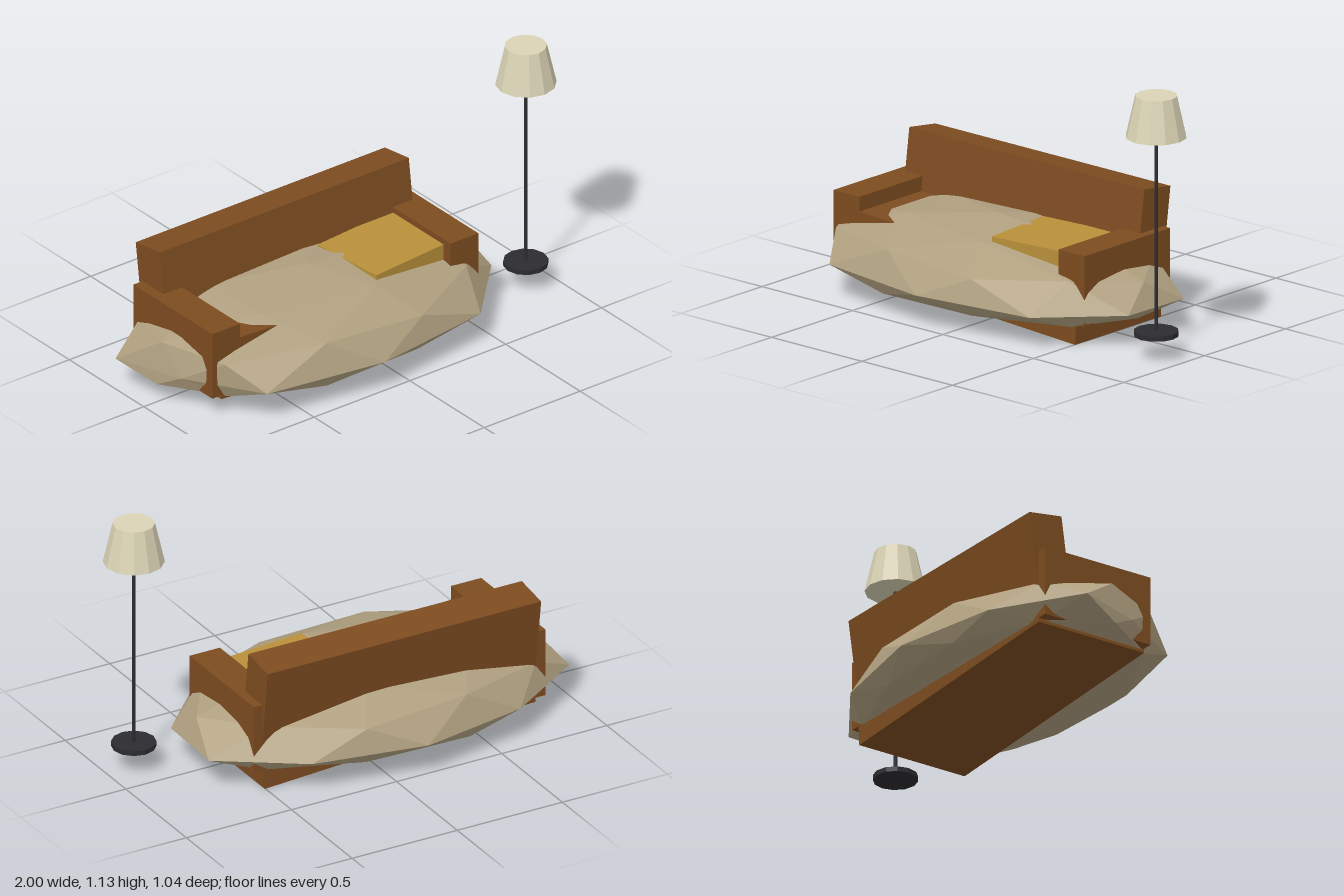
import * as THREE from 'three';

const paint = (name, color) => {
  const m = new THREE.MeshStandardMaterial({ color });
  m.name = name;
  return m;
};

// Faceted normals for low-poly parts
function faceted(geometry) {
  const g = geometry.index ? geometry.toNonIndexed() : geometry;
  g.computeVertexNormals();
  return g;
}

// Lumpy mound: an icosphere-like dome with a flattened underside
function moundGeometry() {
  const cx = -0.14, midY = 0.145, baseY = 0.085, rx = 0.9, rz = 0.525;
  const at = (j, r, y) => {
    const a = (j * Math.PI) / 5;
    return [cx + Math.cos(a) * r * rx, y, Math.sin(a) * r * rz];
  };
  // Widest outline, irregular
  const rim = [
    [0.705, 0.14], [0.42, 0.435], [-0.14, 0.515], [-0.69, 0.43], [-0.89, 0.11],
    [-1, -0.19], [-0.63, -0.43], [-0.14, -0.525], [0.36, -0.43], [0.715, -0.19],
  ].map(([x, z]) => [x, midY, z]);
  const upper = [], lower = [], crown = [];
  for (let j = 0; j < 10; j++) {
    const odd = j % 2;
    upper.push(at(j, odd ? 0.851 : 0.894, odd ? 0.275 : 0.25));
    lower.push(at(j, odd ? 0.88 : 0.851, baseY));
    if (!odd) crown.push(at(j, 0.526, 0.347));
  }
  const top = [cx, 0.385, 0], bottom = [cx, baseY, 0];
  const p = [];
  const tri = (...corners) => corners.forEach((c) => p.push(...c));
  for (let j = 0; j < 10; j++) {
    const n = (j + 1) % 10, b = (j + 9) % 10;
    tri(upper[j], rim[j], rim[b]);
    tri(upper[j], upper[n], rim[j]);
    tri(lower[j], rim[b], rim[j]);
    tri(lower[j], rim[j], lower[n]);
    tri(bottom, lower[j], lower[n]);
  }
  for (let k = 0; k < 5; k++) {
    const next = crown[(k + 1) % 5], j = 2 * k;
    tri(crown[k], upper[j + 1], upper[j]);
    tri(crown[k], upper[j], upper[(j + 9) % 10]);
    tri(crown[k], next, upper[j + 1]);
    tri(top, next, crown[k]);
  }
  const g = new THREE.BufferGeometry();
  g.setAttribute('position', new THREE.Float32BufferAttribute(p, 3));
  g.computeVertexNormals();
  return g;
}

export function createModel() {
  const model = new THREE.Group();
  model.name = 'sofaAndLamp';
  const wood = paint('brown', 0x7d4c20);
  const tan = paint('tan', 0xb0a080);
  const gold = paint('gold', 0xb8903a);
  const cream = paint('cream', 0xdad3b5);
  const metal = paint('darkMetal', 0x2c2c30);

  const add = (name, geometry, material, x = 0, y = 0, z = 0) => {
    const mesh = new THREE.Mesh(geometry, material);
    mesh.name = name;
    mesh.position.set(x, y, z);
    model.add(mesh);
    return mesh;
  };
  const box = (name, material, w, h, d, x, y, z) =>
    add(name, new THREE.BoxGeometry(w, h, d), material, x, y, z);

  // Sofa: sagging seat, leaning backrest, two arms
  box('seat', wood, 1.29, 0.265, 0.53, -0.134, 0.169, -0.02).rotation.z = -0.054;
  box('backrest', wood, 1.3, 0.36, 0.162, -0.135, 0.391, -0.226).rotation.x = -0.137;
  box('rightArm', wood, 0.144, 0.305, 0.53, -0.76, 0.2425, -0.02);
  box('leftArm', wood, 0.144, 0.305, 0.53, 0.483, 0.2425, -0.02);

  // Loose cushion, slightly turned
  box('cushion', gold, 0.45, 0.1, 0.355, 0.24, 0.32, 0.035).rotation.y = 0.095;

  // Mound engulfing the sofa
  add('mound', moundGeometry(), tan);

  // Floor lamp
  const lampX = 0.872, lampZ = 0.156;
  const round = (name, material, rTop, rBottom, y0, y1, sides) =>
    add(name, faceted(new THREE.CylinderGeometry(rTop, rBottom, y1 - y0, sides)),
      material, lampX, (y0 + y1) / 2, lampZ);
  round('lampBase', metal, 0.094, 0.094, 0.1, 0.121, 12);
  round('lampPole', metal, 0.008, 0.008, 0.11, 0.97, 8);
  round('lampShade', cream, 0.088, 0.128, 0.957, 1.135, 12);

  return model;
}
